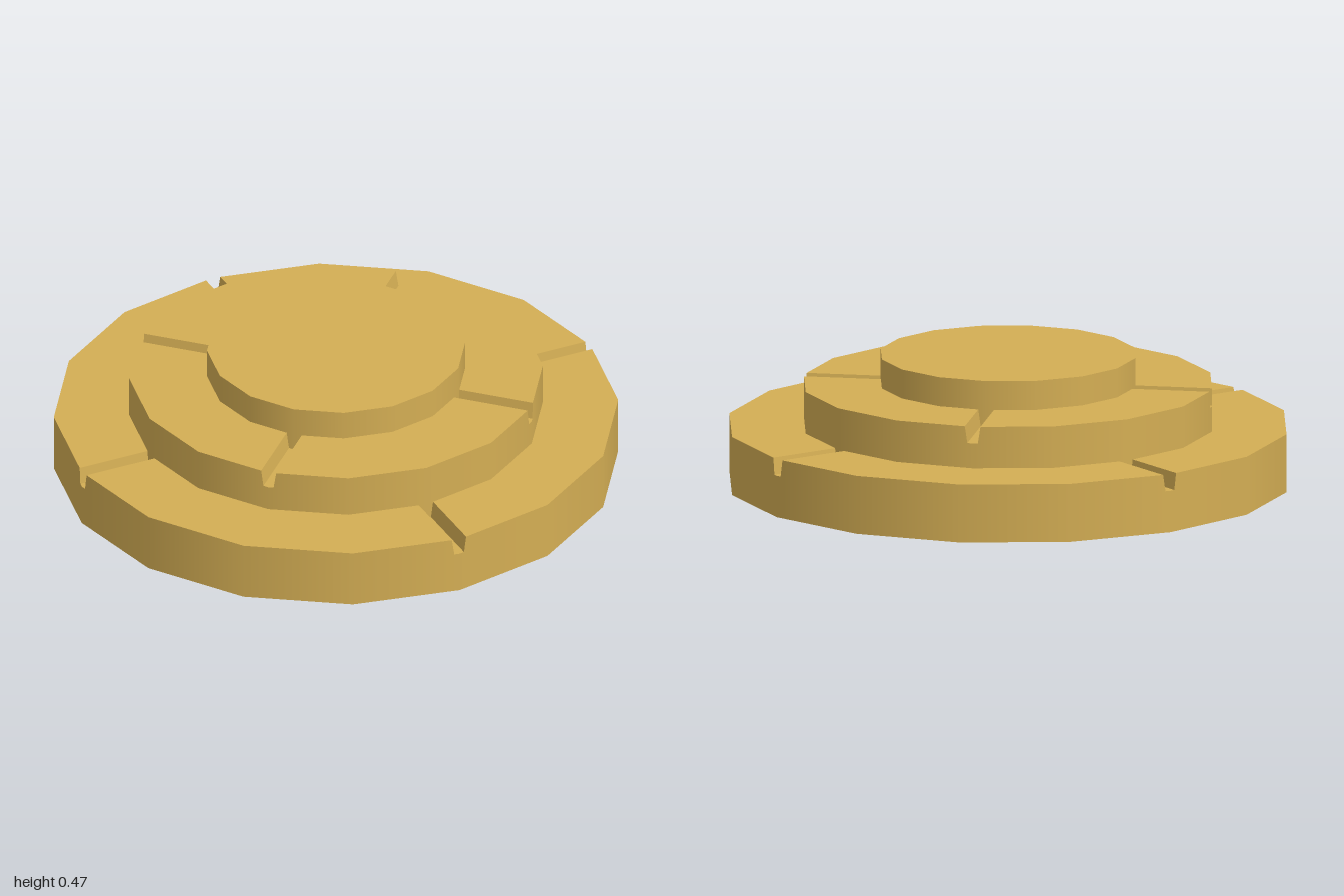
import * as THREE from 'three';

const SIDES = 16;
const STEP = (Math.PI * 2) / SIDES;
// half a groove cross-section: [sideways offset, depth]
const GROOVE = [[-0.028, 0], [-0.019, 0.06], [0, 0.06], [0.019, 0.06], [0.028, 0]];

// Outline of a 16-sided tier, dipping at every grooved corner
function outline(radius, top, isGrooved) {
  const points = [];
  for (let k = 0; k < SIDES; k++) {
    const a = k * STEP;
    for (const [t, depth] of isGrooved(k) ? GROOVE : [[0, 0]]) {
      const r = radius - Math.abs(t) * Math.tan(STEP / 2);
      points.push(new THREE.Vector3(
        r * Math.sin(a) + t * Math.cos(a), top - depth, r * Math.cos(a) - t * Math.sin(a)));
    }
  }
  return points;
}

// Closed band of quads between two loops of equal length
function band(lower, upper, smooth) {
  const pos = [];
  lower.forEach((p, i) => {
    const j = (i + 1) % lower.length;
    for (const v of [p, lower[j], upper[j], p, upper[j], upper[i]]) pos.push(v.x, v.y, v.z);
  });
  const g = new THREE.BufferGeometry();
  g.setAttribute('position', new THREE.Float32BufferAttribute(pos, 3));
  g.computeVertexNormals();
  if (smooth) {
    const n = g.attributes.normal;
    for (let i = 0; i < n.count; i++) {
      const x = pos[i * 3], z = pos[i * 3 + 2], l = Math.hypot(x, z);
      n.setXYZ(i, x / l, 0, z / l);
    }
  }
  return g;
}

export function createModel() {
  const model = new THREE.Group();
  model.name = 'steppedDisc';
  const brass = new THREE.MeshStandardMaterial({ color: 0xd4ae54, side: THREE.DoubleSide });
  brass.name = 'brass';
  const add = (name, geometry) => {
    const mesh = new THREE.Mesh(geometry, brass);
    mesh.name = name;
    model.add(mesh);
    return mesh;
  };

  // Hollow grooved tiers: outer wall plus ring-shaped deck
  const tiers = [
    { name: 'lower', radius: 1, inner: 0.73, bottom: 0, top: 0.21, grooved: k => k % 4 === 0 },
    { name: 'middle', radius: 0.733, inner: 0.455, bottom: 0.14, top: 0.36, grooved: k => k % 4 === 2 },
  ];
  for (const { name, radius, inner, bottom, top, grooved } of tiers) {
    const rim = outline(radius, top, grooved);
    const foot = rim.map(p => new THREE.Vector3(p.x, bottom, p.z));
    add(name + 'Wall', band(foot, rim, true));
    add(name + 'Deck', band(rim, outline(inner, top, grooved), false));
  }

  // Plain top tier, open underneath
  const wall = add('upperWall', new THREE.CylinderGeometry(0.457, 0.457, 0.185, SIDES, 1, true));
  wall.position.y = 0.3725;
  const cap = add('upperCap', new THREE.CircleGeometry(0.457, SIDES).rotateX(-Math.PI / 2));
  cap.position.y = 0.465;

  return model;
}
